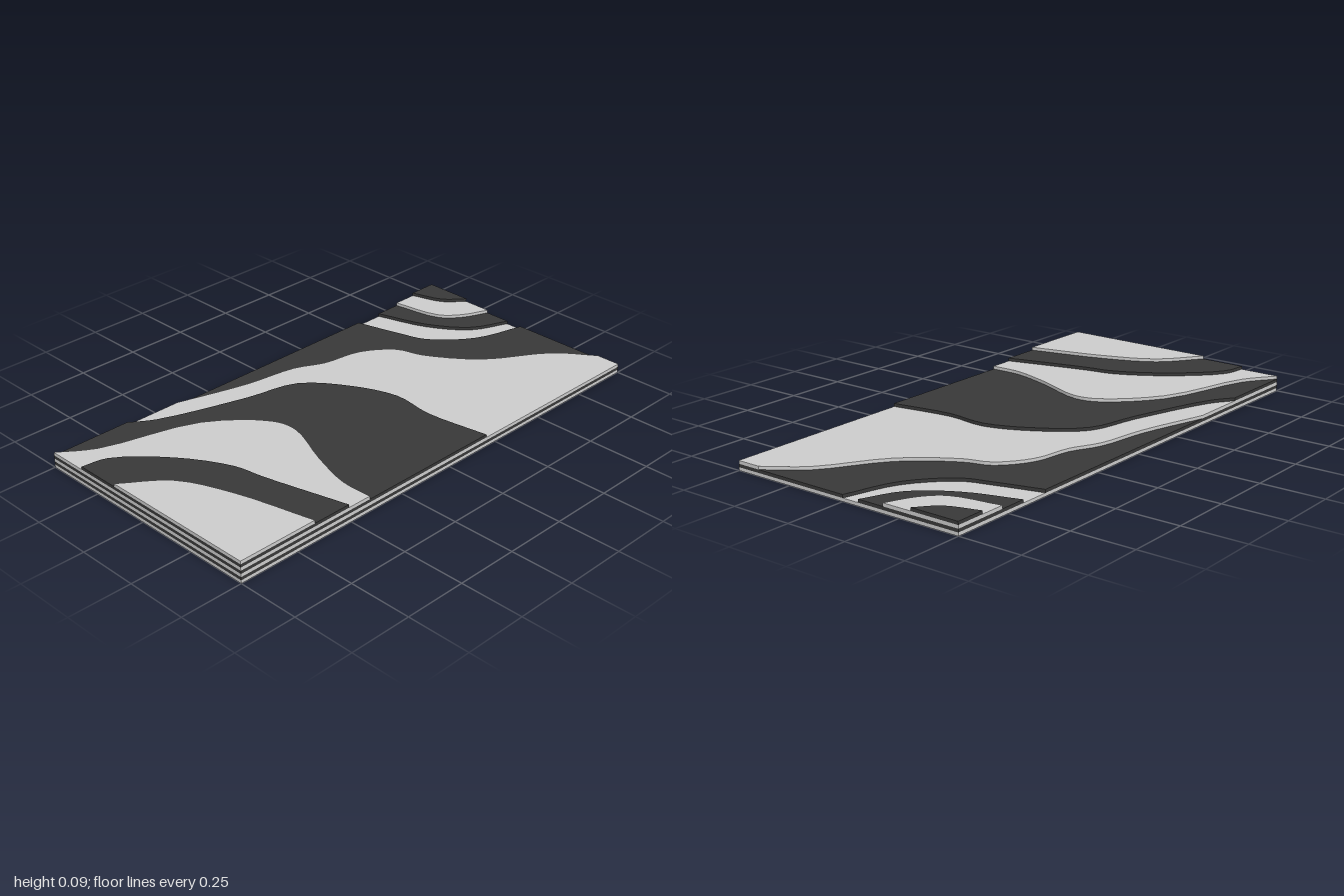
import * as THREE from 'three';

// Layered contour relief: seven stacked sheets, alternating light and dark
const SHEET = 0.0125;
const light = new THREE.MeshStandardMaterial({ color: 0xcccccc });
const dark = new THREE.MeshStandardMaterial({ color: 0x383838 });

// Board corners as [x, z]
const BL = [-1, -0.5], FL = [-1, 0.5], FR = [1, 0.5], BR = [1, -0.5];

// One flat sheet: a smooth contour line in plan, closed along the board's corners
function makeSheet(name, level, corners, contour) {
  const curve = new THREE.CatmullRomCurve3(contour.map(([x, z]) => new THREE.Vector3(x, 0, z)));
  const line = curve.getPoints((contour.length - 1) * 4).map((p) => new THREE.Vector2(p.x, -p.z));
  const ends = corners.map(([x, z]) => new THREE.Vector2(x, -z));
  const geometry = new THREE.ExtrudeGeometry(new THREE.Shape([...line, ...ends]), {
    depth: SHEET, bevelEnabled: false,
  });
  geometry.rotateX(-Math.PI / 2);
  const mesh = new THREE.Mesh(geometry, level % 2 ? dark : light);
  mesh.name = name;
  mesh.position.y = level * SHEET;
  return mesh;
}

export function createModel() {
  const model = new THREE.Group();
  model.name = 'contourRelief';

  // Full board
  model.add(makeSheet('baseSheet', 0, [FR, FL], [BL, BR]));

  // Main slope, rising towards the front -x corner
  model.add(makeSheet('slopeSheet2', 1, [FR, FL, BL],
    [[0.55, -0.5], [0.6, -0.315], [0.64, -0.2], [0.79, -0.065], [1, 0]]));
  model.add(makeSheet('slopeSheet3', 2, [FR, FL, BL],
    [[-0.43, -0.5], [-0.145, -0.42], [0.07, -0.385], [0.19, -0.33], [0.35, -0.3],
      [0.47, -0.21], [0.51, -0.1], [0.65, 0.09], [0.89, 0.255], [1, 0.4]]));
  model.add(makeSheet('slopeSheet4', 3, [FL, BL],
    [[-0.67, -0.5], [-0.58, -0.44], [-0.235, -0.325], [-0.02, -0.27],
      [0.11, -0.11], [0.18, 0.07], [0.165, 0.245], [0.2, 0.5]]));
  model.add(makeSheet('slopeSheet5', 4, [FL],
    [[-1, -0.5], [-0.87, -0.41], [-0.49, -0.29], [-0.3, -0.11],
      [-0.28, -0.01], [-0.36, 0.2], [-0.41, 0.37], [-0.41, 0.5]]));
  model.add(makeSheet('slopeSheet6', 5, [FL],
    [[-1, -0.335], [-0.9, -0.315], [-0.73, -0.15], [-0.62, 0.04], [-0.595, 0.165], [-0.51, 0.5]]));
  model.add(makeSheet('summitSheet', 6, [FL],
    [[-1, -0.15], [-0.84, -0.02], [-0.75, 0.18], [-0.67, 0.5]]));

  // Small rise in the back +x corner, across the valley
  model.add(makeSheet('cornerSheet2', 1, [BR],
    [[0.67, -0.5], [0.74, -0.29], [0.85, -0.14], [1, -0.07]]));
  model.add(makeSheet('cornerSheet3', 2, [BR],
    [[0.78, -0.5], [0.82, -0.3], [0.89, -0.23], [1, -0.18]]));
  model.add(makeSheet('cornerSheet4', 3, [BR],
    [[0.88, -0.5], [0.925, -0.37], [1, -0.3]]));

  return model;
}
